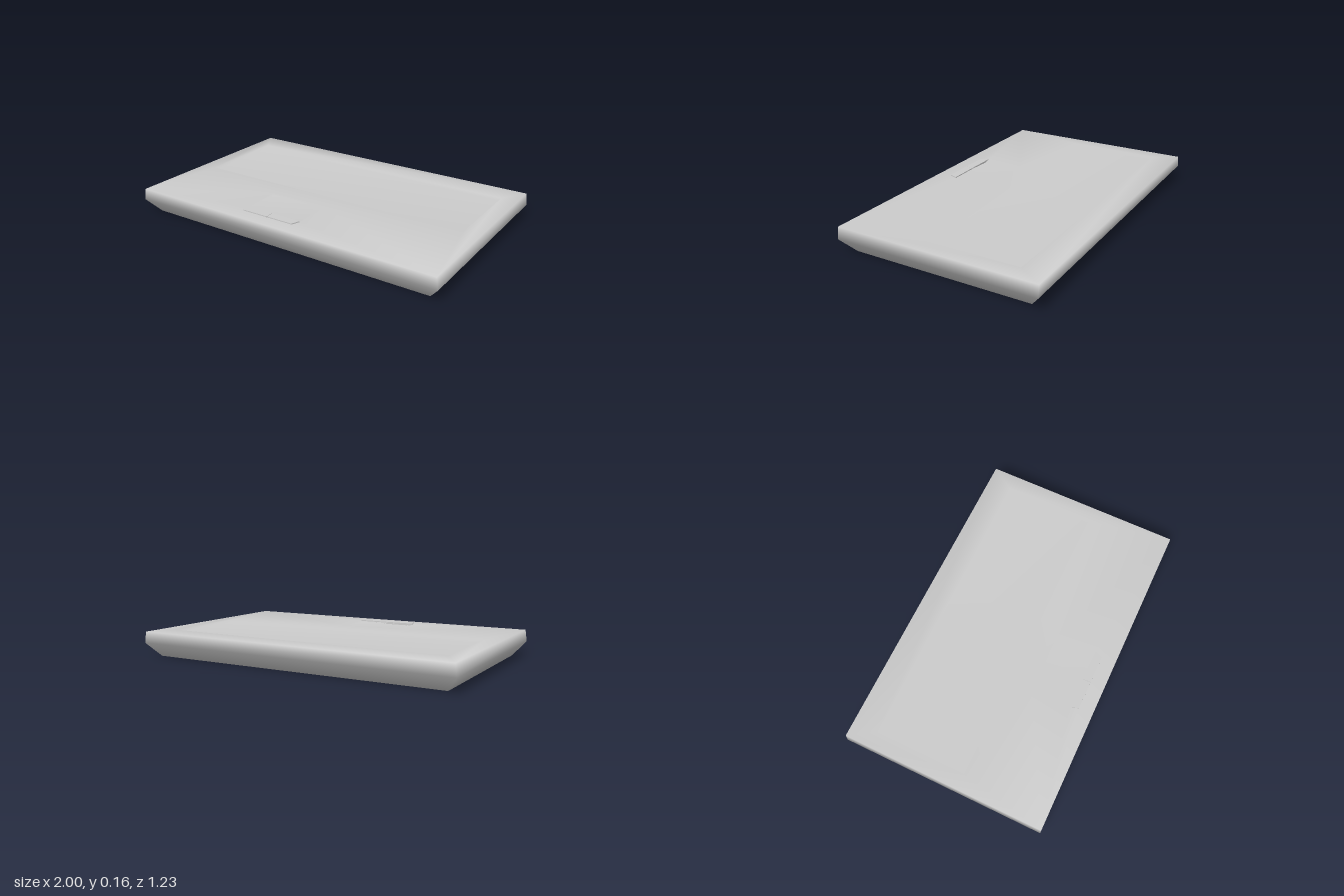
import * as THREE from 'three';
import { mergeGeometries, mergeVertices } from 'three/addons/utils/BufferGeometryUtils.js';

const TOP = 0.155;

// Rectangle corners at height y, counter-clockwise seen from above
const loop = (y, x0, x1, z0, z1) => [[x0, y, z1], [x1, y, z1], [x1, y, z0], [x0, y, z0]];

// Skins a chain of loops, with optional caps on the first (down) and last (up)
function skin(loops, capStart, capEnd) {
  const index = [];
  for (let l = 0; l < loops.length - 1; l++) {
    for (let i = 0; i < 4; i++) {
      const a = l * 4 + i, b = l * 4 + (i + 1) % 4;
      index.push(a, b, b + 4, a, b + 4, a + 4);
    }
  }
  const e = (loops.length - 1) * 4;
  if (capStart) index.push(0, 2, 1, 0, 3, 2);
  if (capEnd) index.push(e, e + 1, e + 2, e, e + 2, e + 3);
  const g = new THREE.BufferGeometry();
  g.setAttribute('position', new THREE.Float32BufferAttribute(loops.flat(2), 3));
  g.setIndex(index);
  return g;
}

// Flat outline from loop corners, for shapes laid in the xz plane
const outline = (corners) => corners.map(([x, , z]) => new THREE.Vector2(x, -z));

export function createModel() {
  const group = new THREE.Group();
  const material = new THREE.MeshStandardMaterial({ color: 0xcccccc });
  const add = (name, geometry) => {
    const mesh = new THREE.Mesh(geometry, material);
    mesh.name = name;
    group.add(mesh);
  };

  // Case: bevelled underside, upright rim, deck with two recesses
  const rim = loop(TOP, -0.99, 0.99, -0.617, 0.617);
  const recesses = [
    { rect: [-0.895, 0.89, -0.465, 0.095], depth: 0.02 },  // keyboard well
    { rect: [-0.29, 0.09, 0.235, 0.48], depth: 0.008 },    // touchpad
  ];
  const deckShape = new THREE.Shape(outline(rim));
  const parts = [skin([
    loop(0, -0.932, 0.932, -0.548, 0.55),
    loop(0.085, -1, 1, -0.617, 0.617),
    rim,
  ], true, false)];
  for (const { rect, depth } of recesses) {
    const edge = loop(TOP, ...rect);
    deckShape.holes.push(new THREE.Path(outline(edge)));
    parts.push(skin([edge, loop(TOP - depth, ...rect)], false, true));
  }
  const deck = new THREE.ShapeGeometry(deckShape).rotateX(-Math.PI / 2).translate(0, TOP, 0);
  deck.deleteAttribute('normal');
  deck.deleteAttribute('uv');
  parts.push(deck);
  const body = mergeVertices(mergeGeometries(parts), 1e-4);
  body.computeVertexNormals();
  add('case', body);

  // Pair of touchpad buttons, tapered at their outer ends
  for (const side of [-1, 1]) {
    const cx = -0.1, inner = cx + side * 0.001;
    const shape = new THREE.Shape(outline([
      [inner, 0, 0.48], [cx + side * 0.19, 0, 0.48],
      [cx + side * 0.172, 0, 0.53], [inner, 0, 0.53],
    ]));
    const button = new THREE.ExtrudeGeometry(shape, { depth: 0.014, bevelEnabled: false });
    button.rotateX(-Math.PI / 2).translate(0, 0.147, 0);
    add(side < 0 ? 'rightButton' : 'leftButton', button);
  }
  return group;
}
